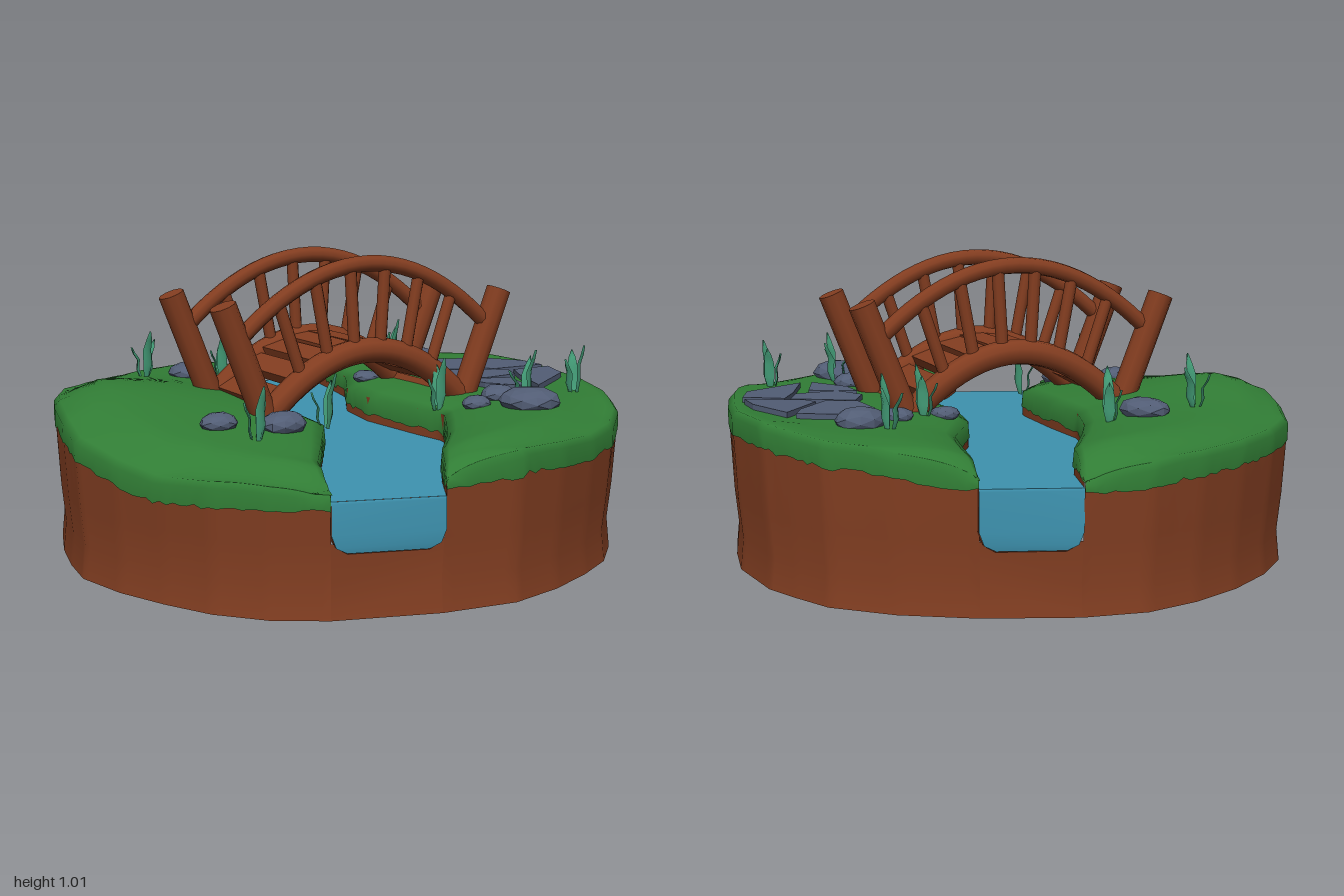
import * as THREE from 'three';

const mat = (name, color, extra = {}) => {
  const m = new THREE.MeshStandardMaterial({ color, ...extra });
  m.name = name;
  return m;
};
const V = (x, y, z) => new THREE.Vector3(x, y, z);

// island outline on each side of the river, back to front: x, z
const RIGHT_RIM = [[-0.18, -1], [-0.39, -0.96], [-0.56, -0.86], [-0.71, -0.73], [-0.84, -0.57], [-0.93, -0.4], [-0.96, -0.18],
  [-0.965, 0.03], [-0.95, 0.22], [-0.92, 0.39], [-0.815, 0.57], [-0.69, 0.72], [-0.56, 0.85], [-0.4, 0.945], [-0.22, 0.99]];
const LEFT_RIM = [[0.13, -0.99], [0.38, -0.94], [0.59, -0.85], [0.7, -0.74], [0.79, -0.64], [0.905, -0.4], [0.94, -0.2],
  [0.96, 0], [0.963, 0.2], [0.92, 0.4], [0.83, 0.57], [0.71, 0.7], [0.56, 0.83], [0.386, 0.937], [0.13, 0.988]];

// piecewise linear lookup in [key, value] pairs
function lerpTable(table, k) {
  for (let i = 1; i < table.length; i++) {
    const [a, va] = table[i - 1], [b, vb] = table[i];
    if (k <= b) return va + (vb - va) * Math.max(0, (k - a) / (b - a));
  }
  return table[table.length - 1][1];
}

// river banks: x against z
const leftEdge = z => lerpTable([[-1, -0.18], [-0.78, -0.17], [-0.56, -0.22], [-0.38, -0.25], [-0.17, -0.25],
  [0.05, -0.18], [0.35, -0.1], [0.58, -0.16], [0.76, -0.21], [0.98, -0.22]], z);
const rightEdge = z => lerpTable([[-1, 0.13], [-0.75, 0.165], [-0.56, 0.185], [-0.3, 0.13], [-0.1, 0.16],
  [0.15, 0.27], [0.28, 0.335], [0.42, 0.3], [0.6, 0.25], [0.8, 0.17], [0.98, 0.13]], z);
const waterLevel = z => 0.395 - 0.015 * z;

// lower edge of the grass around the rim, against z
const grassLine = (x, z) => lerpTable(x < 0
  ? [[-1, 0.4], [-0.9, 0.42], [-0.5, 0.43], [0, 0.465], [0.2, 0.45], [0.42, 0.405], [0.7, 0.345], [0.88, 0.36], [1, 0.36]]
  : [[-1, 0.41], [-0.9, 0.455], [-0.6, 0.48], [0, 0.472], [0.3, 0.455], [0.5, 0.425], [0.7, 0.41], [0.92, 0.43], [0.99, 0.4]], z);

// ground height with a hill, a low corner, a rounded rim and a soft river bank
function ground(x, z) {
  const bump = (cx, cz, r) => Math.exp(-((x - cx) ** 2 + (z - cz) ** 2) / (r * r));
  const inside = 0.535 + 0.055 * bump(-0.77, 0, 0.32) - 0.06 * bump(-0.5, 0.9, 0.45);
  const rim = THREE.MathUtils.smoothstep(Math.hypot(x / 0.965, z / 1.012), 0.84, 1);
  const shore = Math.min(Math.abs(x - leftEdge(z)), Math.abs(x - rightEdge(z)));
  const y = THREE.MathUtils.lerp(inside, grassLine(x, z) + 0.07, rim) - 0.05 * Math.exp(-shore / 0.09);
  return Math.max(y, waterLevel(z) + 0.02);
}

// surface through rows of points
function loft(rows) {
  const n = rows[0].length, pos = [], idx = [];
  rows.forEach(r => r.forEach(p => pos.push(p.x, p.y, p.z)));
  for (let i = 0; i < rows.length - 1; i++)
    for (let j = 0; j < n - 1; j++) {
      const a = i * n + j, b = a + n;
      idx.push(a, b, a + 1, b, b + 1, a + 1);
    }
  const g = new THREE.BufferGeometry();
  g.setAttribute('position', new THREE.Float32BufferAttribute(pos, 3));
  g.setIndex(idx);
  g.computeVertexNormals();
  return g;
}

export function createModel() {
  const model = new THREE.Group();
  const two = { side: THREE.DoubleSide };
  const grass = mat('grass green', 0x317d35, two);
  const earth = mat('earth brown', 0x843f22, two);
  const wood = mat('wood brown', 0x833d20);
  const water = mat('water blue', 0x3e93b0, two);
  const stone = mat('stone grey', 0x525d75, { flatShading: true });
  const reed = mat('reed green', 0x45a07a, two);
  let seed = 7;
  const rnd = () => (seed = (seed * 16807) % 2147483647) / 2147483647;
  const add = (parent, name, geo, m) => {
    const mesh = new THREE.Mesh(geo, m);
    mesh.name = name;
    parent.add(mesh);
    return mesh;
  };

  // grass banks with ragged lips over the river and the rim, and the earth wall below
  const wallProfile = [[0.25, 0.985], [0.12, 0.972], [0.015, 0.983]];
  for (const [label, rimPoints, edge] of [['right', RIGHT_RIM, leftEdge], ['left', LEFT_RIM, rightEdge]]) {
    const top = [], wall = [], per = 7, N = (rimPoints.length - 1) * per;
    for (let i = 0; i <= N; i++) {
      const k = Math.min(Math.floor(i / per), rimPoints.length - 2), t = i / per - k;
      const [a, b] = [rimPoints[k], rimPoints[k + 1]];
      const x = a[0] + (b[0] - a[0]) * t, z = a[1] + (b[1] - a[1]) * t, e = edge(z);
      const rimY = ground(x, z), low = grassLine(x, z) - 0.015 * rnd();
      const lip = Math.min(ground(e, z), waterLevel(z) + 0.02 + 0.015 * rnd());
      const row = [V(e - Math.sign(x) * 0.005, lip, z)];
      for (const s of [0, 0.05, 0.11, 0.19, 0.29, 0.41, 0.54, 0.67, 0.78, 0.87, 0.93, 0.975]) {
        const px = e + (x - e) * s, pz = z * (1 - 0.012 * s);
        row.push(V(px, ground(px, pz), pz));
      }
      row.push(V(x, Math.max(rimY - 0.02, low + 0.02), z), V(x, low, z));
      top.push(row);
      wall.push([V(x * 0.997, low + 0.02, z * 0.997), ...wallProfile.map(([y, s]) => V(x * s, y, z * s))]);
    }
    add(model, label + 'GrassBank', loft(top), grass);
    add(model, label + 'EarthWall', loft(wall), earth);
  }

  // river bed trough and water surface
  const bed = [], surface = [];
  for (let i = 0; i <= 60; i++) {
    const z = 0.986 * (i / 30 - 1), l = leftEdge(z), r = rightEdge(z), w = waterLevel(z);
    bed.push([V(l, ground(l, z), z), V(l, 0.28, z), V(l + 0.015, 0.24, z), V(l + 0.05, 0.22, z),
      V(r - 0.05, 0.22, z), V(r - 0.015, 0.24, z), V(r, 0.28, z), V(r, ground(r, z), z)]);
    surface.push([V(l, w, z), V(r, w, z)]);
  }
  add(model, 'riverBed', loft(bed), earth);
  add(model, 'riverSurface', loft(surface), water);

  // river ends: water face with rounded lower corners, and the wall under it
  for (const s of [-1, 1]) {
    const l = leftEdge(s), r = rightEdge(s), w = waterLevel(s), face = [];
    for (const [y, inset, out] of [[w, 0, 0.986], [w - 0.008, 0, 0.99], [0.28, 0, 0.992], [0.24, 0.015, 0.99], [0.222, 0.05, 0.986]])
      face.push([V(l + inset, y, s * out), V(r - inset, y, s * out)]);
    add(model, 'riverEnd', loft(face), water);
    const [zl, zr] = s < 0 ? [-1, -0.99] : [0.99, 0.988];
    add(model, 'wallUnderRiver', loft(wallProfile.map(([y, k]) => [V(l * k, y, zl * k), V(r * k, y, zr * k)])), earth);
  }

  // arched bridge
  const bridge = new THREE.Group();
  bridge.name = 'bridge';
  bridge.position.set(0.022, 0, 0.007);
  bridge.rotation.y = 0.288;
  model.add(bridge);
  const beamY = x => 0.705 - 1.35 * x * x;
  const railY = x => 1.0 - 0.98 * x * x;
  const rod = (name, a, b, r) => {
    const mesh = add(bridge, name, new THREE.CylinderGeometry(r, r, a.distanceTo(b), 10), wood);
    mesh.position.copy(a).lerp(b, 0.5);
    mesh.quaternion.setFromUnitVectors(V(0, 1, 0), b.clone().sub(a).normalize());
  };
  const arch = (name, half, yOf, z, r) => {
    const pts = [];
    for (let i = 0; i <= 12; i++) {
      const x = half * (i / 6 - 1);
      pts.push(V(x, yOf(x), z));
    }
    add(bridge, name, new THREE.TubeGeometry(new THREE.CatmullRomCurve3(pts), 24, r, 9), wood);
  };
  for (const z of [-0.21, 0.21]) {
    arch('archBeam', 0.38, beamY, z, 0.044);
    arch('handRail', 0.48, railY, z, 0.028);
    for (const s of [-1, 1]) rod('post', V(s * 0.385, 0.49, z), V(s * 0.54, 0.885, z), 0.045);
    for (let i = 0; i < 6; i++) {
      const x = -0.25 + 0.1 * i;
      rod('baluster', V(x, beamY(x), z), V(x * 1.36, railY(x * 1.36), z), 0.021);
    }
  }
  // planks, each tipped a little so that the deck is stepped
  for (let i = 0; i < 9; i++) {
    const x = -0.335 + 0.09 * i;
    const plank = add(bridge, 'plank', new THREE.BoxGeometry(0.09, 0.032, 0.42), wood);
    plank.position.set(x, beamY(x) + 0.005, 0);
    plank.rotation.set(0, (rnd() - 0.5) * 0.07, Math.atan(-2.7 * x) * 0.7);
  }

  // stone paving
  const slabs = [
    [[0.54, -0.51], [0.69, -0.49], [0.68, -0.4], [0.61, -0.24], [0.5, -0.25], [0.44, -0.39]],
    [[0.72, -0.48], [0.84, -0.35], [0.88, -0.24], [0.68, -0.22], [0.64, -0.26]],
    [[0.51, -0.24], [0.73, -0.2], [0.72, -0.09], [0.58, -0.03], [0.49, -0.11]],
    [[0.75, -0.19], [0.89, -0.2], [0.89, -0.06], [0.72, 0.16], [0.73, -0.07]],
    [[0.51, -0.03], [0.68, -0.02], [0.68, 0.17], [0.55, 0.07]],
  ];
  for (const slab of slabs) {
    const shape = new THREE.Shape(slab.map(p => new THREE.Vector2(...p)));
    const g = new THREE.ExtrudeGeometry(shape, { depth: 0.04, bevelEnabled: false }).rotateX(Math.PI / 2);
    const p = g.attributes.position;
    for (let i = 0; i < p.count; i++) p.setY(i, p.getY(i) + ground(p.getX(i), p.getZ(i)) + 0.018);
    g.computeVertexNormals();
    add(model, 'pavingSlab', g, stone);
  }

  // rocks: x, z, radius
  for (const [x, z, r] of [[-0.45, -0.43, 0.082], [0.48, -0.58, 0.085], [0.36, -0.46, 0.052], [0.21, -0.33, 0.05],
    [-0.47, 0.46, 0.064], [-0.27, 0.48, 0.078], [0.54, 0.25, 0.066], [0.43, 0.33, 0.053], [0.58, 0.43, 0.1]]) {
    const g = new THREE.IcosahedronGeometry(r, 1), p = g.attributes.position, a = rnd() * 6;
    for (let i = 0; i < p.count; i++) {
      const f = 1 + 0.14 * Math.sin(p.getX(i) / r * 2 + a) * Math.cos(p.getZ(i) / r * 2 + a);
      p.setXYZ(i, p.getX(i) * f, p.getY(i) * 0.5 * f, p.getZ(i) * f);
    }
    g.computeVertexNormals();
    add(model, 'rock', g, stone).position.set(x, ground(x, z) + r * 0.15, z);
  }

  // reeds: tufts of broad bent blades
  for (const [x, z] of [[-0.62, -0.38], [-0.32, -0.48], [0.39, -0.64], [0.28, -0.37], [0.83, 0.21],
    [0.33, 0.22], [0.6, 0.33], [-0.1, 0.36], [-0.37, 0.6]]) {
    const tuft = new THREE.Group();
    tuft.name = 'reeds';
    tuft.position.set(x, ground(x, z) - 0.01, z);
    for (let i = 0; i < 3; i++) {
      const h = 0.17 - 0.03 * i + 0.02 * rnd(), lean = 0.04 - 0.02 * rnd();
      const rows = [[0, 0.009, 0], [0.3, 0.019, 0.4], [0.6, 0.018, 0.3], [0.82, 0.013, 0.8], [1, 0.001, 1]].map(([t, w, b]) =>
        [V(-w, h * t, lean * b), V(0, h * t, lean * b + 0.007), V(w, h * t, lean * b)]);
      const blade = add(tuft, 'blade', loft(rows), reed);
      const a = i * 2.1 + rnd();
      blade.rotation.y = a;
      blade.position.set(Math.sin(a) * 0.01, 0, Math.cos(a) * 0.01);
    }
    model.add(tuft);
  }
  return model;
}
